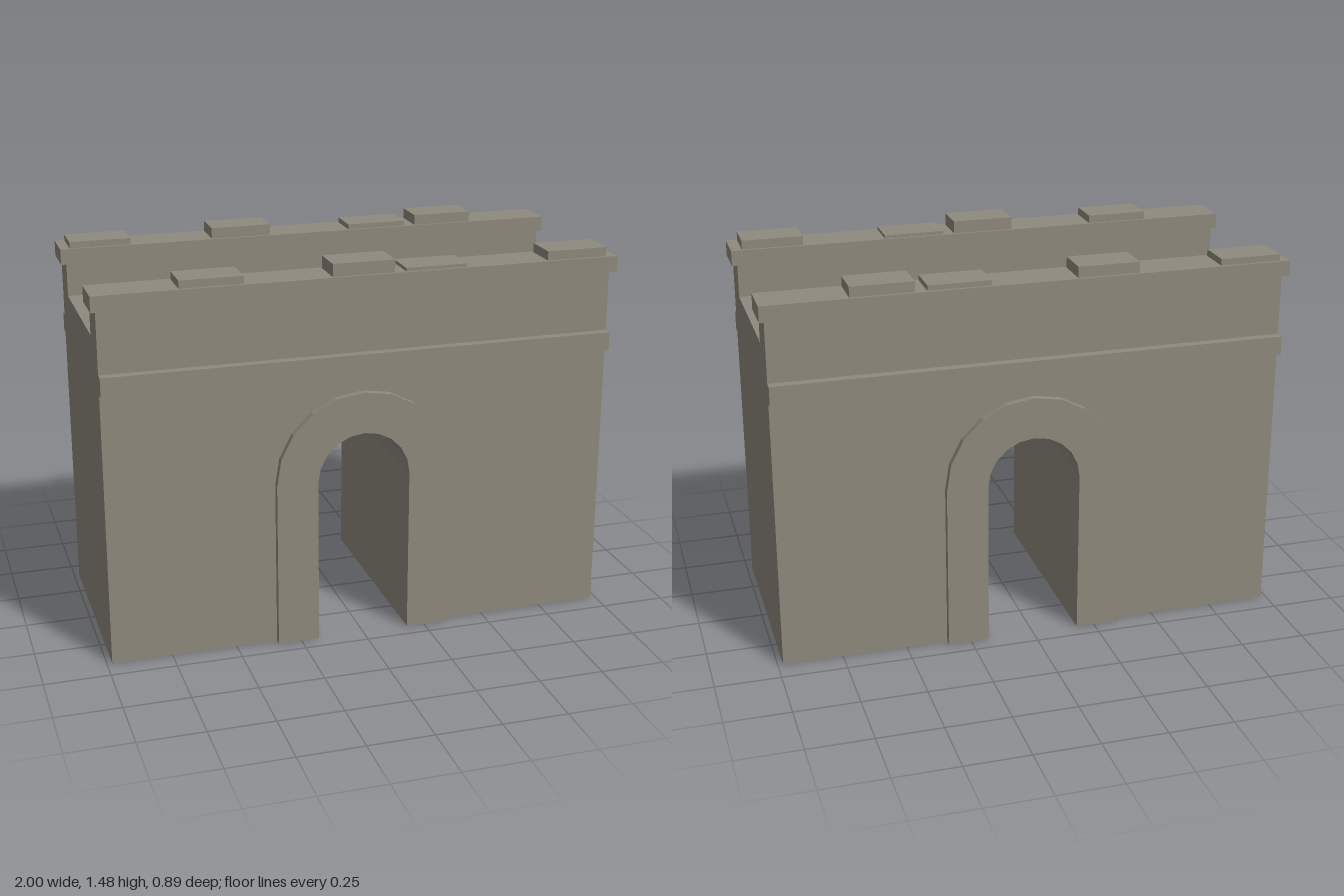
import * as THREE from 'three';

const SPRING = 0.645; // height where the arch starts to curve
const ARCH_STEPS = 10;

// Points of a faceted arch, from its left foot over the crown to its right foot
function archPoints(radius) {
  const points = [new THREE.Vector2(-radius, 0)];
  for (let i = 0; i <= ARCH_STEPS; i++) {
    const a = Math.PI * (1 - i / ARCH_STEPS);
    points.push(new THREE.Vector2(radius * Math.cos(a), SPRING + radius * Math.sin(a)));
  }
  points.push(new THREE.Vector2(radius, 0));
  return points;
}

export function createModel() {
  const group = new THREE.Group();
  group.name = 'gatehouseArch';
  const stone = new THREE.MeshStandardMaterial({ color: 0x8f8a7e });
  stone.name = 'stone';

  function add(name, geometry) {
    const mesh = new THREE.Mesh(geometry, stone);
    mesh.name = name;
    group.add(mesh);
  }

  function box(name, x0, x1, y0, y1, z0, z1) {
    const geometry = new THREE.BoxGeometry(x1 - x0, y1 - y0, Math.abs(z1 - z0));
    geometry.translate((x0 + x1) / 2, (y0 + y1) / 2, (z0 + z1) / 2);
    add(name, geometry);
  }

  function extrude(name, points, z0, z1) {
    const geometry = new THREE.ExtrudeGeometry(new THREE.Shape(points), {
      depth: z1 - z0, bevelEnabled: false,
    });
    geometry.translate(0, 0, z0);
    add(name, geometry);
  }

  // Main block with the passage cut through it
  const opening = archPoints(0.18);
  extrude('wallBody', [
    new THREE.Vector2(-0.98, 0), ...opening, new THREE.Vector2(0.98, 0),
    new THREE.Vector2(0.98, 1.245), new THREE.Vector2(-0.98, 1.245),
  ], -0.41, 0.41);

  // Raised arch surrounds on both faces
  const surround = [...archPoints(0.34), ...opening.slice().reverse()];
  extrude('frontArchSurround', surround, 0.41, 0.437);
  extrude('backArchSurround', surround, -0.437, -0.41);

  // Loose capping stones: left edge and top height
  const stones = {
    front: [[-0.685, 1.46], [-0.12, 1.478], [0.16, 1.443], [0.72, 1.465]],
    back: [[-0.963, 1.455], [-0.403, 1.472], [0.16, 1.45], [0.442, 1.47]],
  };

  // Parapet, coping, string course and stones on each side
  for (const [side, s] of [['front', 1], ['back', -1]]) {
    box(side + 'Parapet', -0.98, 0.98, 1.245, 1.37, s * 0.275, s * 0.41);
    box(side + 'Coping', -1, 1, 1.37, 1.43, s * 0.275, s * 0.433);
    box(side + 'StringCourse', -0.98, 0.98, 1.06, 1.135, s * 0.41, s * 0.445);
    for (const [x, top] of stones[side]) {
      box(side + 'CapStone', x, x + 0.237, 1.43, top, s * 0.285, s * 0.422);
    }
  }
  return group;
}
